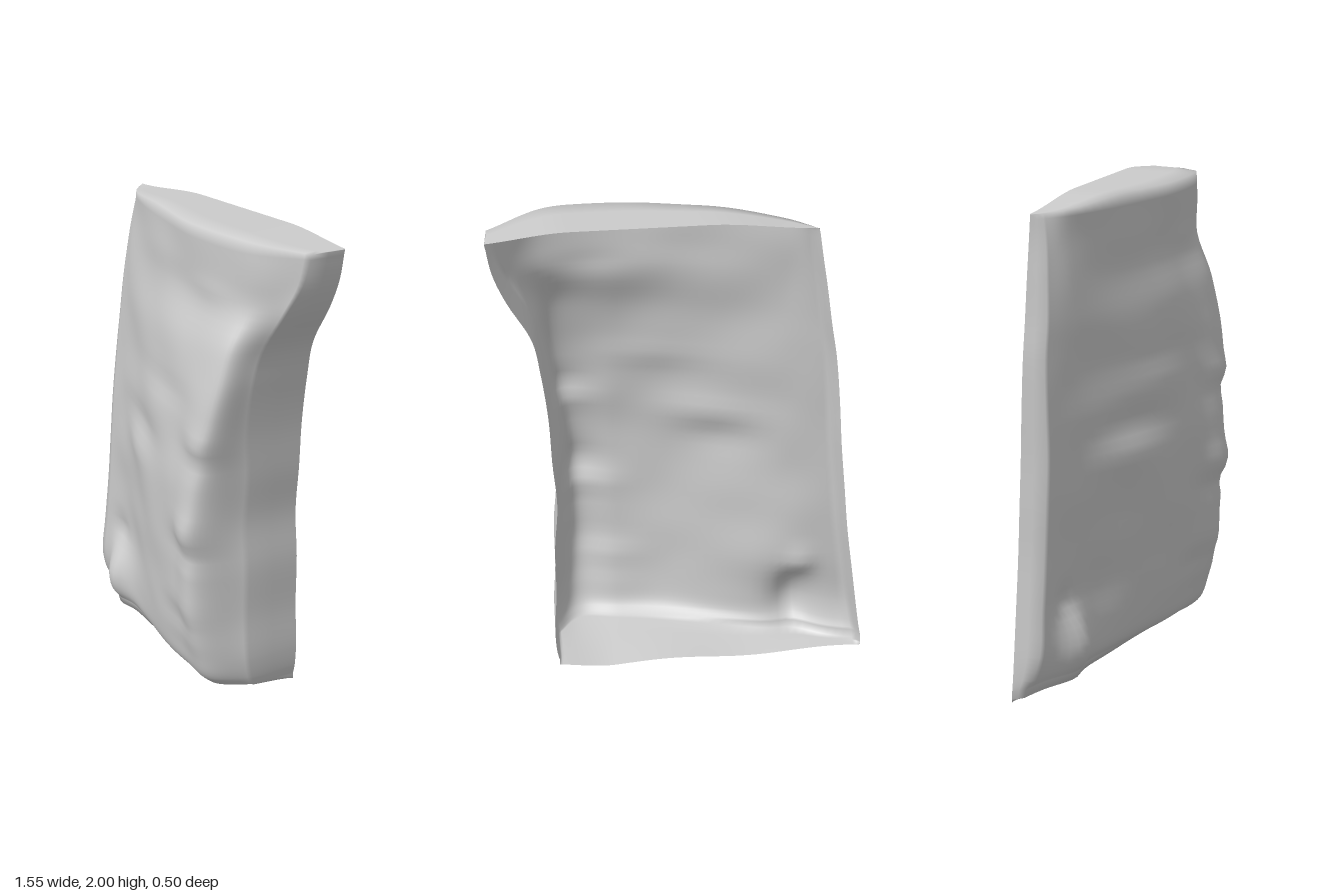
import * as THREE from 'three';

const BACK = -0.24, ROWS = 60, COLS = 48;
const { smoothstep, lerp } = THREE.MathUtils;

// Cross-sections, bottom to top:
// y, left x, left z, z at -0.42, z at 0, z at 0.25, ridge x, ridge z, side z, right x
const SECTIONS = [
  [0.05, -0.775, -0.20, -0.10, 0.00, 0.05, 0.42, 0.08, -0.04, 0.540],
  [0.10, -0.765, -0.17, -0.08, 0.06, 0.11, 0.43, 0.13, -0.02, 0.550],
  [0.20, -0.750, -0.14, -0.08, 0.09, 0.14, 0.43, 0.165, 0.00, 0.555],
  [0.38, -0.725, -0.14, -0.09, 0.10, 0.17, 0.42, 0.21, 0.00, 0.545],
  [0.60, -0.695, -0.14, -0.08, 0.11, 0.18, 0.42, 0.225, 0.00, 0.545],
  [0.80, -0.675, -0.14, -0.07, 0.12, 0.19, 0.43, 0.235, 0.00, 0.530],
  [1.00, -0.655, -0.14, -0.07, 0.11, 0.18, 0.45, 0.215, 0.00, 0.545],
  [1.20, -0.640, -0.15, -0.08, 0.10, 0.16, 0.49, 0.20, 0.02, 0.555],
  [1.40, -0.620, -0.16, -0.09, 0.08, 0.14, 0.52, 0.17, 0.02, 0.580],
  [1.55, -0.595, -0.16, -0.09, 0.06, 0.11, 0.53, 0.125, 0.00, 0.610],
  [1.72, -0.570, -0.17, -0.11, 0.02, 0.06, 0.55, 0.055, -0.03, 0.705],
  [1.84, -0.550, -0.18, -0.12, 0.02, 0.06, 0.56, 0.050, -0.07, 0.755],
  [1.97, -0.530, -0.20, -0.13, 0.02, 0.07, 0.53, 0.055, -0.09, 0.780],
];

// Dents and swellings of the front: x, y, width, height, depth
const DENTS = [
  [-0.52, 0.17, 0.10, 0.15, 0.085],
  [-0.53, 0.37, 0.07, 0.06, -0.035],
  [-0.20, 0.93, 0.16, 0.07, 0.015],
  [-0.15, 1.05, 0.20, 0.06, -0.015],
  [0.40, 0.78, 0.15, 0.06, 0.015],
  [0.40, 0.66, 0.15, 0.04, -0.02],
  [0.45, 1.16, 0.12, 0.05, 0.015],
  [0.45, 1.07, 0.12, 0.04, -0.012],
  [0.30, 0.33, 0.15, 0.05, -0.015],
  [-0.05, 0.25, 0.12, 0.10, -0.012],
  [0.10, 1.30, 0.25, 0.05, -0.010],
  [0.35, 1.75, 0.15, 0.05, 0.010],
];

const blob = (x, y, cx, cy, rx, ry) =>
  Math.exp(-(((x - cx) / rx) ** 2) - (((y - cy) / ry) ** 2));

function relief(x, y) {
  const ripple = 0.004 * Math.sin(17 * y + 5 * x) * Math.sin(9 * x - 4 * y);
  return DENTS.reduce((z, [cx, cy, rx, ry, d]) => z + d * blob(x, y, cx, cy, rx, ry), ripple);
}

// Outlines of the open back at top and bottom
const topY = x => 1.965 + 0.035 * smoothstep(x, -0.55, -0.1) * (1 - smoothstep(x, 0.45, 0.85));
const bottomY = x => 0.008 + 0.008 * Math.sin(9 * x + 1) + 0.022 * smoothstep(x, 0.3, 0.55);

// Smooth surface from a loop of rows
function loft(rows) {
  const pos = [], index = [], n = rows[0].length;
  rows.forEach(r => r.forEach(p => pos.push(p.x, p.y, p.z)));
  for (let i = 0; i < rows.length - 1; i++)
    for (let j = 0; j < n - 1; j++) {
      const a = i * n + j, b = a + n;
      index.push(a, a + 1, b, a + 1, b + 1, b);
    }
  const g = new THREE.BufferGeometry();
  g.setAttribute('position', new THREE.Float32BufferAttribute(pos, 3));
  g.setIndex(index);
  g.computeVertexNormals();
  return g;
}

export function createModel() {
  const group = new THREE.Group();
  group.name = 'hollowSlab';

  // Control points of each cross-section, from left rim over the front to right rim
  const controls = SECTIONS.map(([y, xl, zl, z1, z2, z3, xr, zr, zs, xb]) => [
    [xl, BACK], [xl + 0.03, zl], [-0.42, z1], [0, z2], [0.25, z3],
    [xr, zr], [xb - 0.015, zs], [xb, BACK],
  ].map(([x, z]) => new THREE.Vector3(x, y, z)));

  // Smooth lengthwise curves, then sample across them
  const rails = controls[0].map((_, k) => new THREE.CatmullRomCurve3(controls.map(r => r[k])));
  const rows = [];
  for (let i = 0; i <= ROWS; i++) {
    const pts = rails.map(c => c.getPoint(i / ROWS));
    // Straight walls at both sides, a curved front between them
    const front = new THREE.CatmullRomCurve3(pts.slice(1, 7), false, 'centripetal');
    const row = [pts[0], pts[0].clone().lerp(pts[1], 0.5)];
    for (let j = 0; j <= COLS; j++) {
      const p = front.getPoint(j / COLS);
      p.z += relief(p.x, p.y) * Math.min(1, 6 * j / COLS, 6 * (1 - j / COLS));
      row.push(p);
    }
    row.push(pts[6].clone().lerp(pts[7], 0.5), pts[7]);
    rows.push(row);
  }
  for (const p of rows[ROWS]) p.y = topY(p.x) - 0.003;
  for (const p of rows[0]) p.y = 0.025 + 0.03 * smoothstep(p.x, -0.7, 0.3);

  // End walls reach back to the open rim
  const endWall = (row, y) => [0.33, 0.67, 1].map(t => row.map(p =>
    new THREE.Vector3(p.x, lerp(p.y, y(p.x), t), lerp(p.z, BACK, t))));
  const bottom = endWall(rows[0], bottomY).reverse();
  const top = endWall(rows[ROWS], topY);

  const shell = new THREE.Mesh(
    loft([...bottom, ...rows, ...top]),
    new THREE.MeshStandardMaterial({ color: 0xcccccc, side: THREE.DoubleSide }),
  );
  shell.name = 'shell';
  group.add(shell);
  return group;
}
